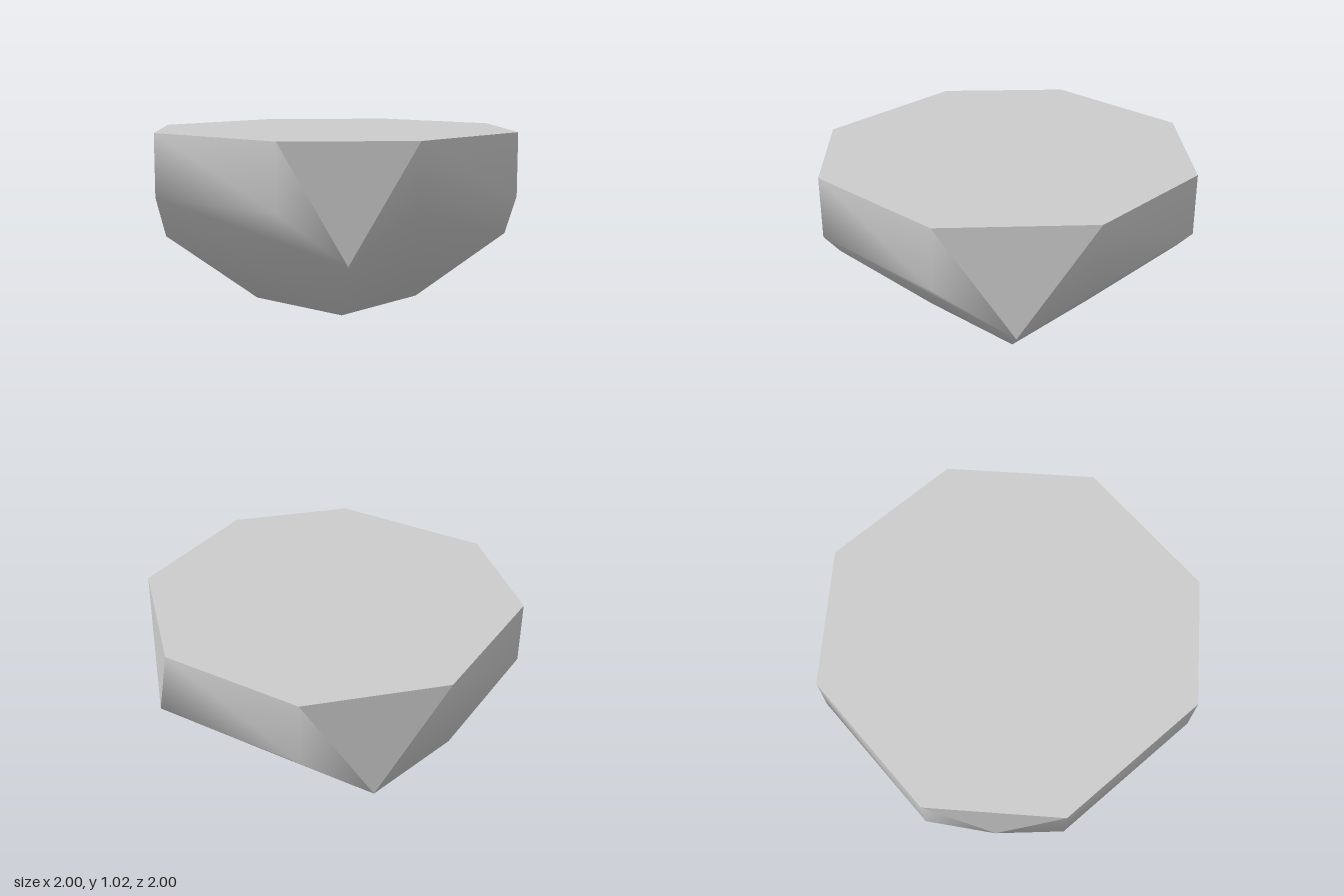
import * as THREE from 'three';

const TOP = 1.02, RIM = 0.66, APEX = 0.38;
// top outline, counter-clockwise seen from above: [x, z]
const OUTLINE = [[-0.46, 1], [0.49, 1], [1, 0.49], [1, -0.4], [0.39, -1], [-0.44, -1], [-1, -0.44], [-1, 0.46]];
const CORNERS = [[1, 1], [1, -1], [-1, -1], [-1, 1]];

const upper = OUTLINE.map(([x, z]) => [x, TOP, z]);
const lower = OUTLINE.map(([x, z]) => [x, RIM, z]);
const apex = CORNERS.map(([x, z]) => [x * 0.72, APEX, z * 0.72]);
const base = CORNERS.map(([x, z]) => [x * 0.34, 0, z * 0.34]);

// Fans each polygon into triangles; points shared between polygons share smooth normals
function polygonMesh(name, polygons) {
  const points = [], index = [];
  const id = (p) => {
    let i = points.indexOf(p);
    if (i < 0) i = points.push(p) - 1;
    return i;
  };
  for (const poly of polygons) {
    for (let k = 1; k < poly.length - 1; k++) index.push(id(poly[0]), id(poly[k]), id(poly[k + 1]));
  }
  const geometry = new THREE.BufferGeometry();
  geometry.setAttribute('position', new THREE.Float32BufferAttribute(points.flat(), 3));
  geometry.setIndex(index);
  geometry.computeVertexNormals();
  const mesh = new THREE.Mesh(geometry, new THREE.MeshStandardMaterial({ color: 0xcccccc }));
  mesh.name = name;
  return mesh;
}

export function createModel() {
  const group = new THREE.Group();
  group.name = 'facetedBlock';

  const body = [];
  for (let i = 0; i < 4; i++) {
    const a = 2 * i, b = a + 1, left = (i + 3) % 4;
    // upright side wall with the two wedges beside it
    body.push([upper[a], lower[a], lower[b], upper[b]]);
    body.push([upper[b], lower[b], apex[i]], [upper[a], apex[left], lower[a]]);
    // sloping underside
    body.push([lower[a], apex[left], base[left], base[i], apex[i], lower[b]]);
    // notched corner facet
    group.add(polygonMesh('cornerFacet', [[upper[b], apex[i], upper[(b + 1) % 8]]]));
  }
  // square foot
  body.push([...base].reverse());

  group.add(polygonMesh('body', body), polygonMesh('topFace', [upper]));
  return group;
}
